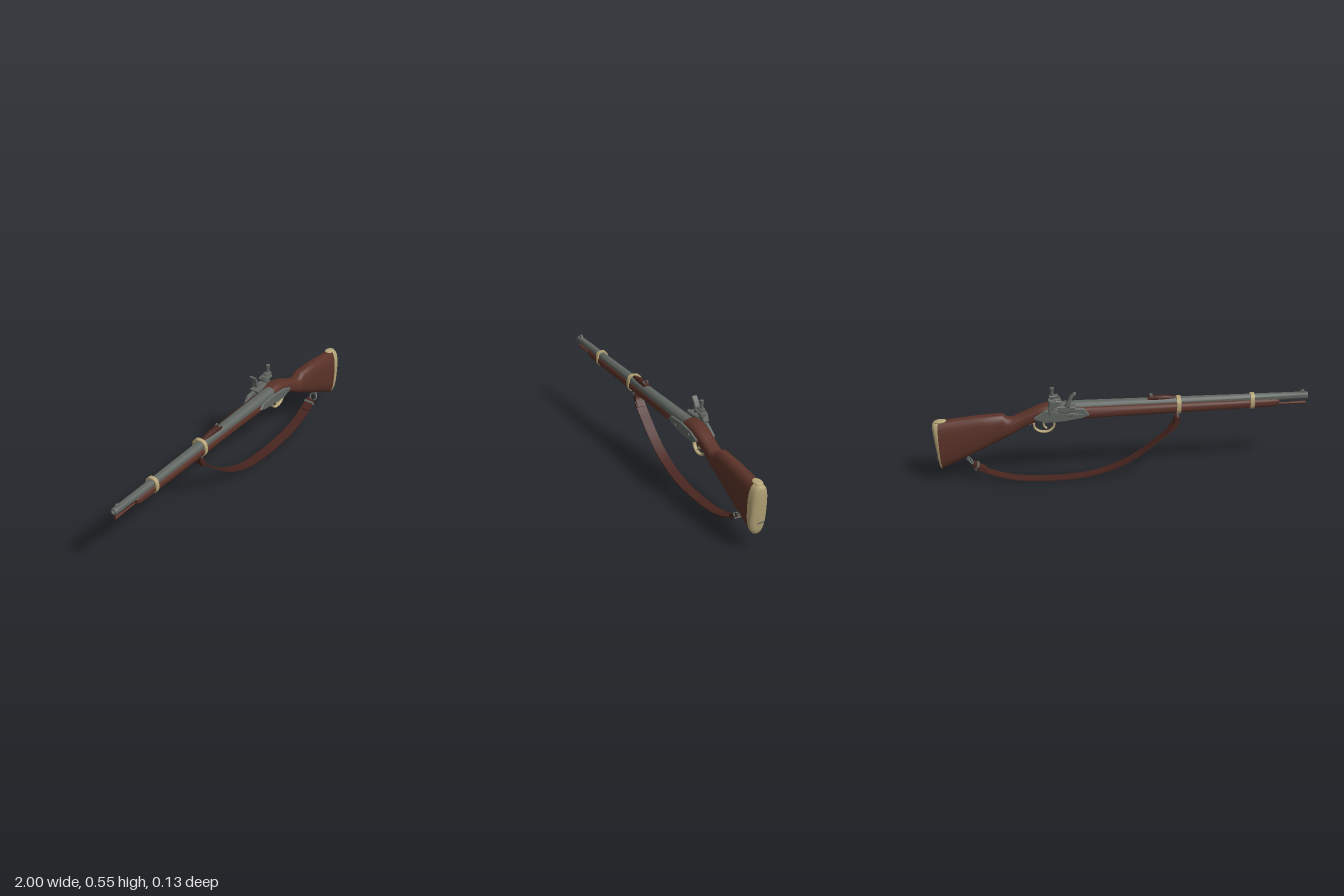
import * as THREE from 'three';
import { toCreasedNormals } from 'three/addons/utils/BufferGeometryUtils.js';

const mat = (name, color) => new THREE.MeshStandardMaterial({ name, color });

// Skin a list of rings (arrays of [x, y, z]) running towards +x, optionally capped
function loft(rings, capStart = true, capEnd = true) {
  const n = rings[0].length, pos = rings.flat(2), idx = [];
  for (let i = 0; i < rings.length - 1; i++) {
    for (let j = 0; j < n; j++) {
      const a = i * n + j, b = i * n + (j + 1) % n, c = a + n, d = b + n;
      idx.push(a, b, c, b, d, c);
    }
  }
  const cap = (r, flip) => {
    const ring = rings[r], centre = pos.length / 3;
    for (let k = 0; k < 3; k++) pos.push(ring.reduce((s, p) => s + p[k], 0) / n);
    for (let j = 0; j < n; j++) {
      const a = r * n + j, b = r * n + (j + 1) % n;
      if (flip) idx.push(centre, b, a); else idx.push(centre, a, b);
    }
  };
  if (capStart) cap(0, true);
  if (capEnd) cap(rings.length - 1, false);
  const g = new THREE.BufferGeometry();
  g.setAttribute('position', new THREE.Float32BufferAttribute(pos, 3));
  g.setIndex(idx);
  return toCreasedNormals(g, 0.7);
}

// Rounded section: x at top and bottom, y top and bottom, z centre, half width, side skew
function section([xTop, xBot, yTop, yBot, zc, hw, skew = 0], n = 28, power = 2.7) {
  const soft = v => Math.sign(v) * Math.pow(Math.abs(v), 2 / power);
  return Array.from({ length: n }, (_, j) => {
    const a = j / n * Math.PI * 2, u = soft(Math.cos(a)), w = soft(Math.sin(a));
    return [xBot + (xTop - xBot) * (u + 1) / 2 - skew * w,
      (yTop + yBot) / 2 + u * (yTop - yBot) / 2, zc + w * hw];
  });
}

// Flat band of leather following points in the xy plane
function ribbon(points, width, thick, z, steps = 40) {
  const curve = new THREE.CatmullRomCurve3(points.map(([x, y]) => new THREE.Vector3(x, y, z)));
  const rings = [];
  for (let i = 0; i <= steps; i++) {
    const p = curve.getPointAt(i / steps), t = curve.getTangentAt(i / steps);
    rings.push([[1, -1], [1, 1], [-1, 1], [-1, -1]].map(([s, w]) =>
      [p.x - t.y * s * thick / 2, p.y + t.x * s * thick / 2, z + w * width / 2]));
  }
  return loft(rings);
}

// Bevelled plate cut from an xy outline, spanning z0 to z1
function plate(points, z0, z1, bevel = 0.004) {
  const shape = new THREE.Shape(points.map(([x, y]) => new THREE.Vector2(x, y)));
  const g = new THREE.ExtrudeGeometry(shape, { depth: z1 - z0 - 2 * bevel, bevelEnabled: true,
    bevelThickness: bevel, bevelSize: bevel, bevelOffset: -bevel, bevelSegments: 1 });
  return g.translate(0, 0, z0 + bevel);
}

export function createModel() {
  const group = new THREE.Group();
  const wood = mat('walnut', 0x5a3228), metal = mat('steel', 0x5f6560);
  const brass = mat('brass', 0xb5a477), leather = mat('leather', 0x48251f);
  const add = (name, geometry, material, x = 0, y = 0, z = 0) => {
    const m = new THREE.Mesh(geometry, material);
    m.name = name;
    m.position.set(x, y, z);
    group.add(m);
    return m;
  };
  const rod = (r0, r1, len) => new THREE.CylinderGeometry(r1, r0, len, 12).rotateZ(-Math.PI / 2);

  // Stock from forend tip to butt
  const seam = [0.957, 0.947, 0.364, 0.09, 0.009, 0.046, 0.012];
  const stock = [
    [-0.845, 0.42, 0.385, 0.02, 0.018], [-0.82, 0.425, 0.374, 0.02, 0.026],
    [-0.6, 0.425, 0.371, 0.017, 0.033], [-0.3, 0.425, 0.366, 0.013, 0.039],
    [0, 0.425, 0.362, 0.01, 0.044], [0.17, 0.425, 0.357, 0.01, 0.046],
    [0.29, 0.427, 0.355, 0.01, 0.046], [0.32, 0.443, 0.354, 0.01, 0.046],
    [0.39, 0.444, 0.352, 0.01, 0.046], [0.44, 0.43, 0.35, 0.01, 0.044],
    [0.5, 0.402, 0.325, 0.01, 0.041], [0.57, 0.37, 0.284, 0.01, 0.04],
    [0.6, 0.371, 0.266, 0.01, 0.041], [0.625, 0.392, 0.253, 0.01, 0.042],
    [0.75, 0.386, 0.187, 0.01, 0.044], [0.9, 0.37, 0.114, 0.01, 0.046]
  ].map(([x, ...rest]) => section([x, x, ...rest]));
  add('stock', loft([...stock, section(seam)], true, false), wood);

  // Butt plate with heel tang
  add('buttPlate', loft([seam, [0.983, 0.957, 0.361, 0.088, 0.009, 0.045],
    [0.993, 0.965, 0.352, 0.096, 0.009, 0.037],
    [0.996, 0.969, 0.335, 0.115, 0.009, 0.026]].map(s => section(s)), false), brass);
  const tang = add('heelTang', new THREE.SphereGeometry(1, 16, 10), brass, 0.953, 0.363, 0.008);
  tang.scale.set(0.035, 0.008, 0.024);
  tang.rotation.z = -0.1;
  const slot = add('buttPlateSlot', new THREE.BoxGeometry(0.006, 0.006, 0.034), metal, 0.974, 0.152, -0.002);
  slot.rotation.x = 0.12;

  // Tapered barrel with open bore
  const profile = [[0, 0.05], [0.01, 0.05], [0.01, 0], [0.017, 0], [0.019, 0.004], [0.019, 0.03],
    [0.022, 0.3], [0.029, 0.9], [0.033, 1.2], [0.033, 1.32], [0, 1.325]];
  const barrel = new THREE.LatheGeometry(profile.map(p => new THREE.Vector2(...p)), 24).rotateZ(-Math.PI / 2);
  add('barrel', toCreasedNormals(barrel, 0.6), metal, -1, 0.429, 0.02).rotation.z = -0.0125;
  add('frontSight', plate([[-0.99, 0.44], [-0.98, 0.461], [-0.965, 0.461], [-0.95, 0.44]], 0.015, 0.025, 0.002), metal);

  // Rear sight base and notch
  add('rearSightBase', loft([[-0.29, 0.452, 0.01], [-0.24, 0.461, 0.015], [-0.16, 0.464, 0.018], [-0.14, 0.452, 0.016]]
    .map(([x, top, hw]) => section([x, x, top, 0.43, 0.02, hw], 16))), leather);
  for (const s of [-1, 1]) {
    add('rearSightLeaf', new THREE.BoxGeometry(0.015, 0.02, 0.008), metal, -0.16, 0.458, 0.021 + s * 0.01);
  }

  // Ramrod
  add('ramrod', rod(0.006, 0.006, 0.18), wood, -0.89, 0.385, 0.02);
  add('ramrodTip', rod(0.009, 0.007, 0.09), wood, -0.945, 0.386, 0.02);

  // Barrel bands
  for (const [x, bot, zc, hw] of [[-0.7, 0.367, 0.018, 0.034], [-0.305, 0.358, 0.014, 0.042]]) {
    add('barrelBand', loft([x - 0.011, x + 0.011].map(e => section([e, e, 0.453, bot, zc, hw]))), brass);
  }

  // Lock plate and opposite side plate
  const outline = [[0.17, 0.392], [0.2, 0.416], [0.3, 0.421], [0.4, 0.411], [0.46, 0.386],
    [0.46, 0.375], [0.4, 0.355], [0.3, 0.361], [0.21, 0.375]];
  add('sidePlate', plate(outline, 0.048, 0.064), metal);
  add('lockPlate', plate(outline.map(([x, y]) => [x, y > 0.4 ? y + 0.016 : y]), -0.051, -0.033), metal);
  for (const x of [0.25, 0.39]) {
    add('sideScrew', new THREE.CylinderGeometry(0.008, 0.009, 0.006, 12).rotateX(Math.PI / 2), metal, x, 0.388, 0.065);
  }

  // Cock with jaws and clamping screw
  add('cockPivot', new THREE.CylinderGeometry(0.02, 0.024, 0.014, 16).rotateX(-Math.PI / 2), metal, 0.36, 0.405, -0.055);
  add('cockArm', plate([[0.345, 0.39], [0.38, 0.39], [0.388, 0.44], [0.375, 0.475], [0.345, 0.485],
    [0.315, 0.478], [0.325, 0.46], [0.35, 0.445]], -0.056, -0.022), metal);
  add('lowerJaw', plate([[0.318, 0.476], [0.385, 0.466], [0.385, 0.482], [0.322, 0.49]], -0.042, -0.008), metal);
  add('upperJaw', plate([[0.33, 0.495], [0.38, 0.49], [0.38, 0.504], [0.335, 0.508]], -0.04, -0.01), metal);
  add('cockScrew', new THREE.CylinderGeometry(0.009, 0.011, 0.075, 12), metal, 0.364, 0.505, -0.025);
  add('cockScrewHead', new THREE.CylinderGeometry(0.012, 0.009, 0.024, 12), metal, 0.364, 0.536, -0.025);

  // Frizzen, pan and spring
  add('frizzen', plate([[0.24, 0.522], [0.25, 0.526], [0.272, 0.505], [0.288, 0.475], [0.3, 0.447],
    [0.27, 0.443], [0.268, 0.475], [0.258, 0.5]], -0.062, -0.032, 0.003), metal);
  add('pan', plate([[0.24, 0.446], [0.34, 0.45], [0.33, 0.425], [0.3, 0.412], [0.26, 0.42]], -0.06, -0.012), metal);
  add('frizzenSpring', plate([[0.2, 0.4], [0.27, 0.412], [0.3, 0.4], [0.27, 0.39]], -0.058, -0.046, 0.003), metal);

  // Trigger guard and trigger
  const tube = (pts, r) => new THREE.TubeGeometry(new THREE.CatmullRomCurve3(
    pts.map(([x, y]) => new THREE.Vector3(x, y, 0))), 32, r, 8).scale(1, 1, 1.8);
  add('triggerGuard', tube([[0.32, 0.355], [0.35, 0.346], [0.358, 0.305], [0.385, 0.281], [0.43, 0.281],
    [0.458, 0.303], [0.466, 0.335], [0.49, 0.327]], 0.006), brass, 0, 0, 0.01);
  add('trigger', tube([[0.405, 0.36], [0.412, 0.33], [0.406, 0.308], [0.395, 0.298]], 0.005), brass, 0, 0, 0.01);

  // Sling with thick folded ends
  add('sling', ribbon([[-0.285, 0.3], [-0.255, 0.265], [-0.2, 0.216], [-0.1, 0.135], [0, 0.076], [0.1, 0.038],
    [0.2, 0.015], [0.33, 0.005], [0.45, 0.006], [0.56, 0.016], [0.65, 0.038], [0.72, 0.066], [0.79, 0.105]],
    0.057, 0.006, -0.006, 60), leather);
  add('slingFrontFold', ribbon([[-0.298, 0.345], [-0.292, 0.31], [-0.262, 0.27]], 0.045, 0.026, -0.004, 8), leather);
  add('slingRearFold', ribbon([[0.725, 0.07], [0.755, 0.088], [0.79, 0.11]], 0.045, 0.024, -0.005, 8), leather);

  // Sling swivels and buckle
  const ring = (r, t) => new THREE.TorusGeometry(r, t, 8, 20);
  const front = add('frontSwivel', ring(0.018, 0.005), metal, -0.3, 0.347, 0.004);
  front.rotation.y = Math.PI / 2;
  const rear = add('rearSwivel', ring(0.02, 0.005), metal, 0.803, 0.125, 0.002);
  rear.rotation.set(0, Math.PI / 2, -0.6, 'ZYX');
  add('rearSwivelStud', new THREE.CylinderGeometry(0.009, 0.009, 0.035, 10), metal, 0.818, 0.148, 0.006);
  const buckle = add('buckle', new THREE.BoxGeometry(0.012, 0.03, 0.056), metal, 0.772, 0.098, -0.005);
  buckle.rotation.z = 0.6;
  return group;
}
